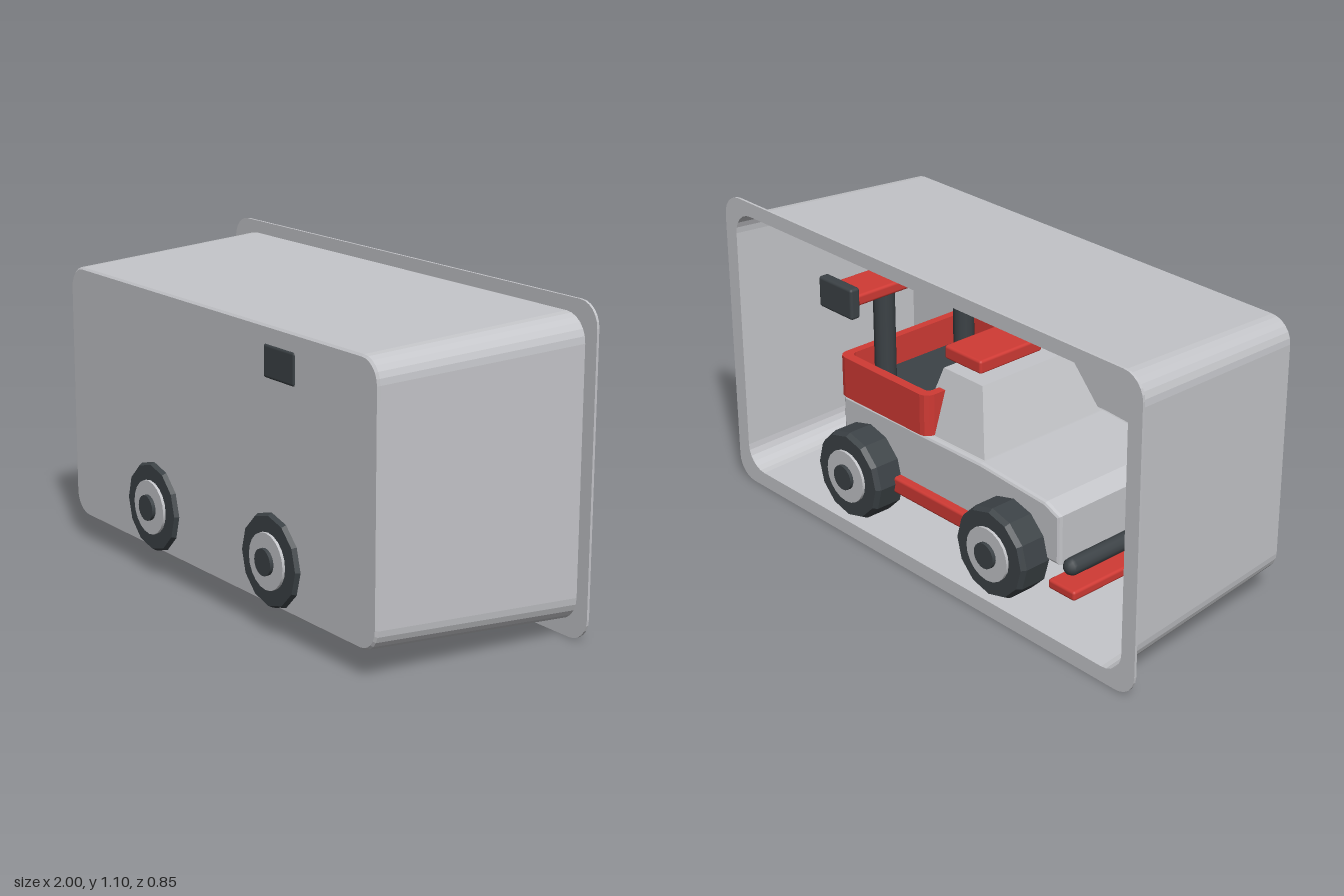
import * as THREE from 'three';
import { RoundedBoxGeometry } from 'three/addons/geometries/RoundedBoxGeometry.js';

const mat = (name, color) => Object.assign(new THREE.MeshStandardMaterial({ color }), { name });

// Points of a rounded rectangle, counter-clockwise
function roundedLoop(hw, hh, r, cy, z, seg = 6) {
  const pts = [];
  [[1, 1], [-1, 1], [-1, -1], [1, -1]].forEach(([sx, sy], q) => {
    for (let i = 0; i <= seg; i++) {
      const a = (q + i / seg) * Math.PI / 2;
      pts.push([sx * (hw - r) + r * Math.cos(a), cy + sy * (hh - r) + r * Math.sin(a), z]);
    }
  });
  return pts;
}

// Tray: one skin running from the outer panel, over the flange, to the inner panel
function trayGeometry() {
  const cy = 0.5525;
  const sections = [
    [0.9, 0.45, 0.075, 0.385], [0.907, 0.457, 0.08, 0.378], [0.949, 0.502, 0.09, -0.376],
    [1, 0.55, 0.08, -0.376], [1, 0.55, 0.08, -0.385],
    [0.943, 0.497, 0.085, -0.385], [0.9, 0.45, 0.075, 0.375],
  ];
  const loops = sections.map(([w, h, r, z]) => roundedLoop(w, h, r, h === 0.55 ? 0.55 : cy, z));
  const pos = [];
  const tri = (...p) => p.forEach(v => pos.push(...v));
  const n = loops[0].length;
  const last = loops.length - 1;
  for (let j = 0; j < n; j++) {
    const k = (j + 1) % n;
    for (let i = 0; i < last; i++) {
      const [a, b, c, d] = [loops[i][j], loops[i][k], loops[i + 1][k], loops[i + 1][j]];
      tri(a, d, c);
      tri(a, c, b);
    }
    tri([0, cy, 0.385], loops[0][j], loops[0][k]);
    tri([0, cy, 0.375], loops[last][k], loops[last][j]);
  }
  const g = new THREE.BufferGeometry();
  g.setAttribute('position', new THREE.Float32BufferAttribute(pos, 3));
  g.computeVertexNormals();
  return g;
}

export function createModel() {
  const root = new THREE.Group();
  const grey = mat('light grey', 0xc4c5c9);
  const red = mat('red', 0xd03a34);
  const dark = mat('charcoal', 0x3c4246);

  const add = (name, geo, material, x = 0, y = 0, z = 0, parent = root) => {
    const m = new THREE.Mesh(geo, material);
    m.name = name;
    m.position.set(x, y, z);
    parent.add(m);
    return m;
  };
  // Rounded box given by its limits
  const box = (name, material, x0, x1, y0, y1, z0, z1, r = 0.01) =>
    add(name, new RoundedBoxGeometry(x1 - x0, y1 - y0, z1 - z0, 2, r), material,
      (x0 + x1) / 2, (y0 + y1) / 2, (z0 + z1) / 2);

  add('tray', trayGeometry(), grey);

  // Truck body, nose towards -x
  const side = new THREE.Shape([
    [0.49, 0.26], [0.49, 0.46], [-0.2, 0.465], [-0.5, 0.445], [-0.56, 0.42], [-0.56, 0.26],
  ].map(p => new THREE.Vector2(...p)));
  add('truckBody', new THREE.ExtrudeGeometry(side, {
    depth: 0.55, bevelThickness: 0.015, bevelSize: 0.01, bevelSegments: 2,
  }), grey, 0, 0, -0.275);

  // Cab: a box narrowed towards its roof
  const cab = new THREE.BoxGeometry(1, 1, 1).toNonIndexed();
  const p = cab.attributes.position;
  for (let i = 0; i < p.count; i++) {
    const top = p.getY(i) > 0;
    const front = p.getX(i) < 0;
    p.setXYZ(i, front ? (top ? -0.11 : -0.2) : (top ? 0.08 : 0.13),
      top ? 0.69 : 0.46, Math.sign(p.getZ(i)) * (top ? 0.195 : 0.27));
  }
  cab.computeVertexNormals();
  add('cab', cab, grey);
  box('roofBox', red, -0.04, 0.14, 0.685, 0.735, -0.14, 0.14);

  // Cargo bed walls with rounded corners, and the floor
  const rect = (x0, x1, hz, r) => roundedLoop((x1 - x0) / 2, hz, r, 0, 0, 3)
    .map(([x, y]) => new THREE.Vector2(x + (x0 + x1) / 2, y));
  const walls = new THREE.Shape(rect(0.05, 0.51, 0.3, 0.035));
  walls.holes.push(new THREE.Path(rect(0.08, 0.48, 0.265, 0.02)));
  add('bedWalls', new THREE.ExtrudeGeometry(walls, { depth: 0.15, bevelEnabled: false })
    .rotateX(-Math.PI / 2), red, 0, 0.475, 0);
  box('bedFloor', dark, 0.07, 0.49, 0.46, 0.52, -0.27, 0.27);

  // Chassis, splitter and bumper bars
  box('chassis', dark, -0.52, 0.52, 0.19, 0.27, -0.2, 0.2);
  box('frontSplitter', red, -0.66, -0.54, 0.165, 0.2, -0.31, 0.31);
  box('rearPlate', red, 0.44, 0.53, 0.2, 0.24, -0.24, 0.24);
  for (const [name, x] of [['frontBar', -0.61], ['rearBar', 0.56]])
    add(name, new THREE.CapsuleGeometry(0.03, 0.54, 4, 12).rotateX(Math.PI / 2), dark, x, 0.26, 0);

  // Rear wing
  box('wing', red, 0.32, 0.47, 0.88, 0.92, -0.37, 0.37);

  // Wheel profiles, turned about the axle
  const turned = pts => new THREE.LatheGeometry(pts.map(q => new THREE.Vector2(...q)), 12)
    .rotateX(Math.PI / 2).toNonIndexed();
  const tyre = turned([[0, 0.265], [0.14, 0.265], [0.16, 0.285], [0.16, 0.382], [0.15, 0.4], [0, 0.4]]);
  tyre.computeVertexNormals();
  const disc = (r, z0, z1) => new THREE.CylinderGeometry(r, r, z1 - z0, 20)
    .rotateX(Math.PI / 2).translate(0, 0, (z0 + z1) / 2);

  for (const s of [1, -1]) {
    box('sill', red, -0.24, 0.24, 0.215, 0.275, s * 0.26 - 0.06, s * 0.26 + 0.06);
    box('wingEndPlate', dark, 0.315, 0.485, 0.84, 0.95, s * 0.37 - 0.02, s * 0.37 + 0.02);
    add('wingPost', new THREE.CylinderGeometry(0.038, 0.038, 0.4, 12), dark, 0.4, 0.69, s * 0.18);
    for (const x of [-0.36, 0.355]) {
      const wheel = new THREE.Group();
      wheel.name = 'wheel';
      wheel.position.set(x, 0.25, 0);
      if (s < 0) wheel.rotation.y = Math.PI;
      root.add(wheel);
      add('tyre', tyre, dark, 0, 0, 0, wheel);
      add('rim', disc(0.095, 0.36, 0.41), grey, 0, 0, 0, wheel);
      add('hub', disc(0.045, 0.36, 0.423), dark, 0, 0, 0, wheel);
      add('axle', disc(0.035, 0, 0.3), dark, 0, 0, 0, wheel);
    }
  }
  return root;
}
